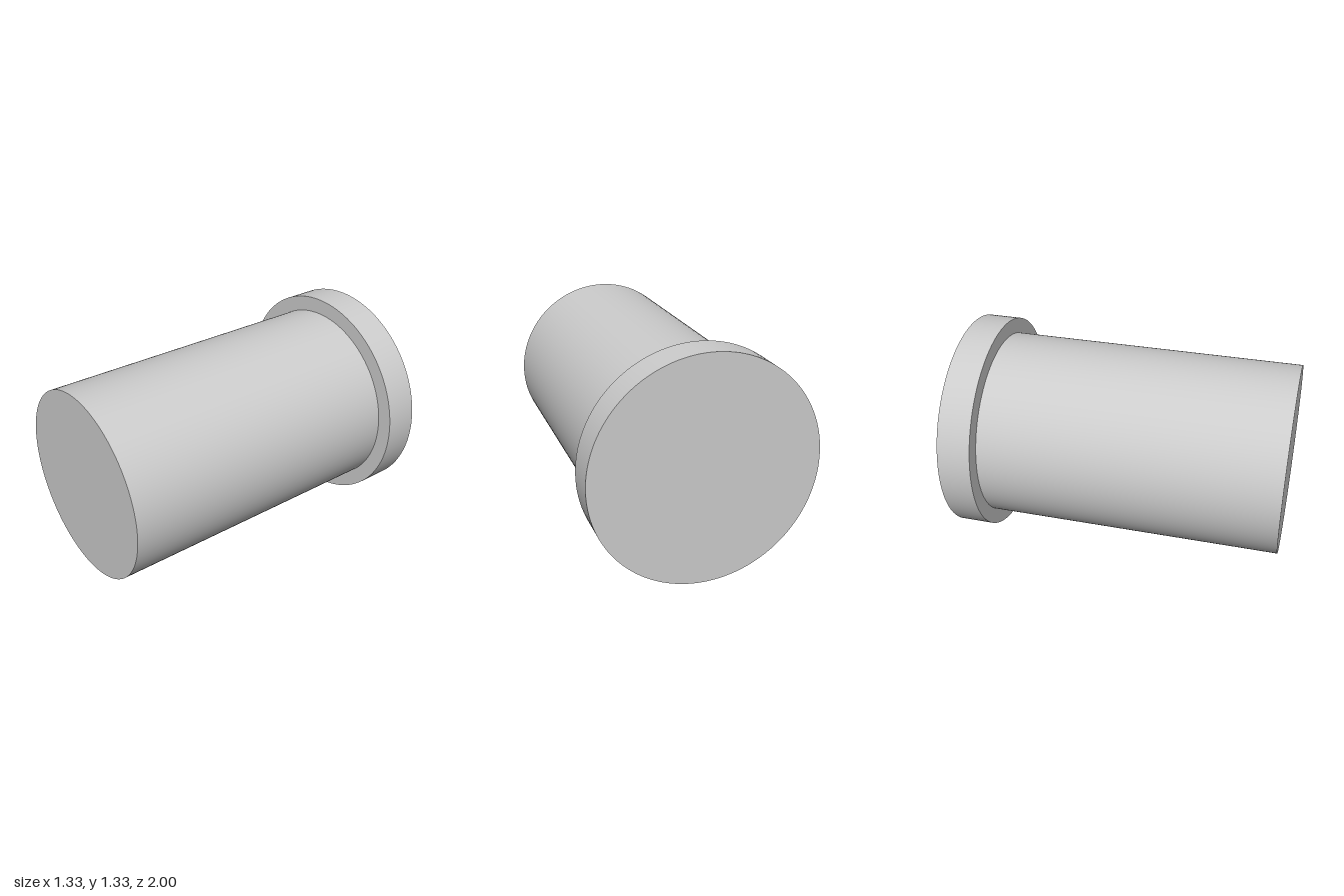
import * as THREE from 'three';
import { toCreasedNormals } from 'three/addons/utils/BufferGeometryUtils.js';

const HEAD_R = 0.667, SHAFT_R = 0.573;
const BACK = -1, SHOULDER = -0.797, FRONT = 1;

// Turned part: profile of [radius, z] pairs, running from back to front
function turned(name, profile, material) {
  const points = profile.map(([r, z]) => new THREE.Vector2(r, z));
  const geometry = toCreasedNormals(new THREE.LatheGeometry(points, 128), Math.PI / 6);
  geometry.rotateX(Math.PI / 2); // lathe axis y becomes z
  const mesh = new THREE.Mesh(geometry, material);
  mesh.name = name;
  mesh.position.y = HEAD_R;
  return mesh;
}

export function createModel() {
  const material = new THREE.MeshStandardMaterial({ color: 0xcccccc });
  const group = new THREE.Group();
  group.name = 'headedPin';

  // Wide head: back face, rim and the ring-shaped shoulder
  group.add(turned('head', [[0, BACK], [HEAD_R, BACK], [HEAD_R, SHOULDER], [SHAFT_R, SHOULDER]], material));

  // Solid shaft with a flat front end
  group.add(turned('shaft', [[SHAFT_R, SHOULDER], [SHAFT_R, FRONT], [0, FRONT]], material));

  return group;
}
